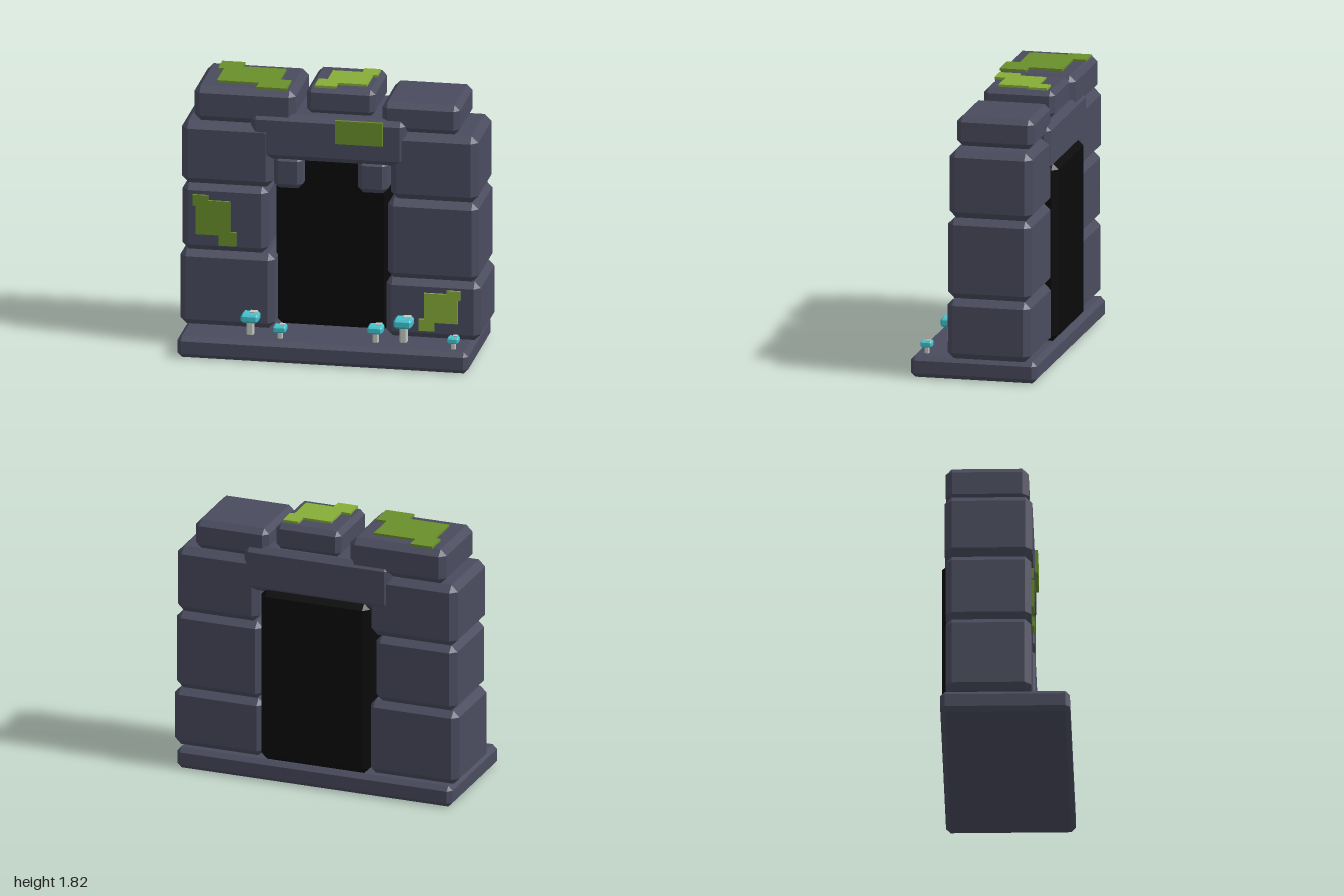
import * as THREE from 'three';
import { ConvexGeometry } from 'three/addons/geometries/ConvexGeometry.js';

const paint = (name, color) => {
  const m = new THREE.MeshStandardMaterial({ color });
  m.name = name;
  return m;
};

// Box between two corners, with every edge and corner cut by c
function chamferBox([x0, x1], [y0, y1], [z0, z1], c) {
  const h = [(x1 - x0) / 2, (y1 - y0) / 2, (z1 - z0) / 2];
  const points = [];
  for (const sx of [-1, 1]) for (const sy of [-1, 1]) for (const sz of [-1, 1]) {
    for (let axis = 0; axis < 3; axis++) {
      const p = h.map((v, i) => (i === axis ? v : v - c));
      points.push(new THREE.Vector3(sx * p[0], sy * p[1], sz * p[2]));
    }
  }
  return new ConvexGeometry(points).translate((x0 + x1) / 2, (y0 + y1) / 2, (z0 + z1) / 2);
}

// Thin plate from an outline
function plate(outline, depth) {
  const shape = new THREE.Shape(outline.map(([x, y]) => new THREE.Vector2(x, y)));
  return new THREE.ExtrudeGeometry(shape, { depth, bevelEnabled: false });
}

export function createModel() {
  const model = new THREE.Group();
  model.name = 'stoneDoorway';
  const stone = paint('stone', 0x4a4c5f);
  const dark = paint('darkness', 0x0a0a0a);
  const mossDark = paint('darkMoss', 0x6a8f2c);
  const mossLight = paint('lightMoss', 0x86ad37);
  const cyan = paint('mushroomCap', 0x42c4d0);
  const pale = paint('mushroomStem', 0xc3cac2);

  const add = (name, geometry, material, parent = model) => {
    const mesh = new THREE.Mesh(geometry, material);
    mesh.name = name;
    parent.add(mesh);
    return mesh;
  };

  // Stonework: name, x range, y range, z range, chamfer
  const blocks = [
    ['base', [-0.97, 0.965], [0, 0.145], [-0.425, 0.425], 0.03],
    ['rightPillarBottom', [-1, -0.37], [0.145, 0.66], [-0.39, 0.172], 0.042],
    ['rightPillarMiddle', [-0.985, -0.415], [0.66, 1.118], [-0.39, 0.172], 0.042],
    ['rightPillarTop', [-0.99, -0.38], [1.118, 1.545], [-0.395, 0.18], 0.045],
    ['leftPillarBottom', [0.37, 1], [0.145, 0.547], [-0.39, 0.172], 0.042],
    ['leftPillarMiddle', [0.38, 0.985], [0.547, 1.088], [-0.39, 0.172], 0.042],
    ['leftPillarTop', [0.4, 0.98], [1.088, 1.545], [-0.395, 0.165], 0.045],
    ['lintel', [-0.53, 0.505], [1.315, 1.627], [-0.405, 0.176], 0.038],
    ['rightBracket', [-0.38, -0.185], [1.115, 1.34], [-0.05, 0.155], 0.034],
    ['leftBracket', [0.18, 0.38], [1.115, 1.34], [-0.05, 0.155], 0.034],
    ['rightCapstone', [-0.91, -0.235], [1.545, 1.785], [-0.39, 0.155], 0.042],
    ['middleCapstone', [-0.17, 0.285], [1.625, 1.805], [-0.38, 0.1], 0.032],
    ['leftCapstone', [0.34, 0.855], [1.545, 1.745], [-0.378, 0.142], 0.036],
  ];
  for (const [name, x, y, z, c] of blocks) add(name, chamferBox(x, y, z, c), stone);

  // Dark doorway filling
  add('doorwayDarkness', chamferBox([-0.385, 0.378], [0.145, 1.34], [-0.425, 0.05], 0.04), dark);

  // Moss on the front faces
  add('pillarMossRight', plate([
    [-0.91, 1.05], [-0.91, 0.975], [-0.89, 0.975], [-0.89, 0.78], [-0.735, 0.78], [-0.735, 0.71],
    [-0.62, 0.71], [-0.62, 0.805], [-0.66, 0.805], [-0.66, 1.015], [-0.805, 1.015], [-0.805, 1.05],
  ], 0.018), mossDark).position.z = 0.17;
  add('pillarMossLeft', plate([
    [0.78, 0.49], [0.78, 0.465], [0.63, 0.465], [0.63, 0.285], [0.595, 0.285], [0.595, 0.205],
    [0.7, 0.205], [0.7, 0.265], [0.855, 0.265], [0.855, 0.425], [0.87, 0.425], [0.87, 0.49],
  ], 0.018), mossLight).position.z = 0.17;
  add('lintelMoss', plate([[0.04, 1.46], [0.355, 1.46], [0.355, 1.62], [0.04, 1.62]], 0.02), mossDark)
    .position.z = 0.176;

  // Moss on the capstones, outlines in x and z
  const topMoss = (name, outline, y, material) => {
    add(name, plate(outline, 0.016).rotateX(Math.PI / 2), material).position.y = y;
  };
  topMoss('capstoneMossRight', [
    [-0.815, -0.365], [-0.66, -0.365], [-0.66, -0.275], [-0.37, -0.275], [-0.37, -0.05], [-0.295, -0.05],
    [-0.295, 0.13], [-0.495, 0.13], [-0.495, 0.04], [-0.775, 0.04], [-0.775, -0.215], [-0.815, -0.215],
  ], 1.8, mossDark);
  topMoss('capstoneMossMiddle', [
    [0.14, -0.325], [0.25, -0.325], [0.25, -0.195], [0.22, -0.195], [0.22, 0.01], [0.025, 0.01],
    [0.025, 0.085], [-0.115, 0.085], [-0.115, -0.06], [-0.055, -0.06], [-0.055, -0.245], [0.14, -0.245],
  ], 1.82, mossLight);

  // Mushrooms: x, z, cap width, cap bottom, cap top
  const mushrooms = [
    [-0.505, 0.28, 0.115, 0.235, 0.293],
    [-0.3, 0.325, 0.085, 0.19, 0.235],
    [0.33, 0.29, 0.1, 0.21, 0.262],
    [0.51, 0.257, 0.12, 0.25, 0.312],
    [0.855, 0.335, 0.075, 0.187, 0.228],
  ];
  for (const [x, z, w, y0, y1] of mushrooms) {
    const mushroom = new THREE.Group();
    mushroom.name = 'mushroom';
    mushroom.position.set(x, 0, z);
    const r = w / 2, s = w * 0.2, d = w * 0.2;
    add('stem', chamferBox([-s, s], [0.14, y0 + 0.01], [-s, s], s * 0.35), pale, mushroom);
    add('cap', chamferBox([-r, r], [y0, y1], [-r, r], w * 0.12), cyan, mushroom);
    const spot = new THREE.BoxGeometry(w * 0.42, 0.008, w * 0.42).translate(d * 0.8, y1 + 0.002, -d * 0.8);
    add('capSpot', spot, pale, mushroom);
    model.add(mushroom);
  }
  return model;
}
